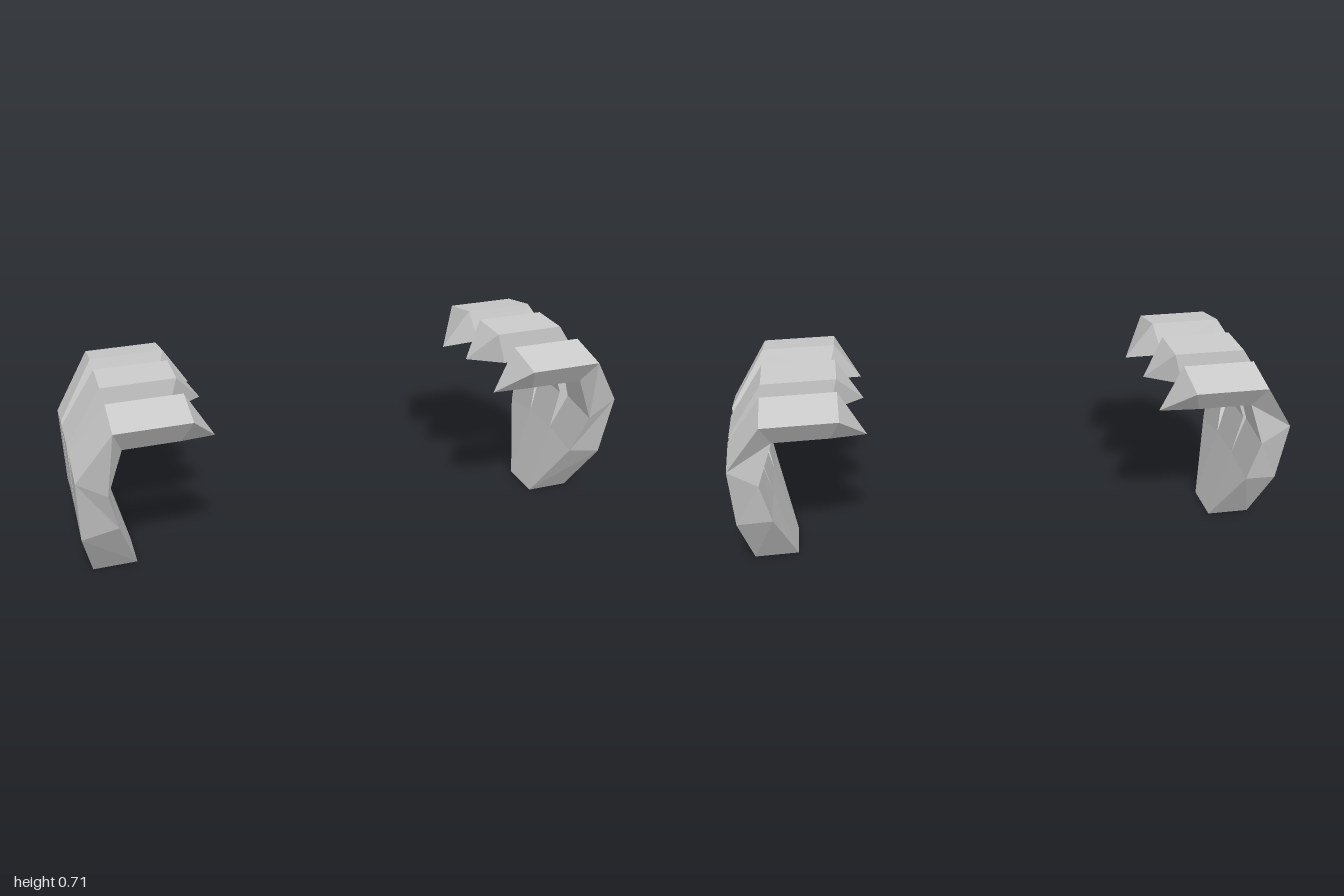
import * as THREE from 'three';

// Each finger is a loft of four-cornered rings running from wrist to tip.
// Ring corners: outer front, outer back, inner back, inner front.
function loft(rings, hidden, mirror) {
  const pos = [];
  const tri = (a, b, c) => {
    const [p, q, r] = [a, b, c].map(v => new THREE.Vector3(...v));
    if (q.clone().sub(p).cross(r.clone().sub(p)).length() < 1e-7) return;
    for (const v of mirror < 0 ? [a, c, b] : [a, b, c]) pos.push(v[0] * mirror, v[1], v[2]);
  };
  for (let i = 0; i < rings.length - 1; i++) {
    for (let k = 0; k < 4; k++) {
      if (i === 0 && hidden.includes(k)) continue; // walls shared inside the palm
      const n = (k + 1) % 4, lo = rings[i], hi = rings[i + 1];
      tri(lo[k], lo[n], hi[n]);
      tri(lo[k], hi[n], hi[k]);
    }
  }
  // wrist cap
  const [a, b, c, d] = rings[0];
  tri(a, c, b);
  tri(a, d, c);
  const g = new THREE.BufferGeometry();
  g.setAttribute('position', new THREE.Float32BufferAttribute(pos, 3));
  g.computeVertexNormals();
  return g;
}

const F = 0.065, B = -0.097; // front and back edge of the middle finger

function middleRings() {
  const ring = (xo, yo, xi, yi) => [[xo, yo, F], [xo, yo, B], [xi, yi, B], [xi, yi, F]];
  const tip = [0.52, 0.59, (F + B) / 2];
  return [
    ring(0.965, 0, 0.805, 0),
    ring(1, 0.26, 0.87, 0.28),
    ring(1, 0.515, 0.9, 0.43),
    ring(0.87, 0.71, 0.84, 0.59),
    ring(0.61, 0.71, 0.645, 0.59),
    [tip, tip, tip, tip],
  ];
}

// s = 1 for the front finger, -1 for the back finger
function sideRings(s) {
  const near = s > 0 ? F : B;
  // far and near outer corners, then near and far inner corners
  const ring = (of, on, inn, inf) => (s > 0 ? [of, on, inn, inf] : [on, of, inf, inn]);
  const wo = [0.965, 0, near], wi = [0.805, 0, near];
  const tip = [0.52, 0.557, s * 0.228];
  const shift = s > 0 ? 0 : -0.008;
  const low = 0.16 * s + shift;
  return [
    ring(wo, wo, wi, wi),
    ring([1, 0.23, s * 0.225], [1, 0.26, near], [0.87, 0.28, near], [0.87, 0.255, s > 0 ? 0.228 : -0.26]),
    ring([1, 0.485, s * 0.29], [1, 0.515, s * 0.13], [0.9, 0.44, s * 0.125], [0.9, 0.42, s * 0.29]),
    ring([0.87, 0.677, s * 0.355], [0.87, 0.71, s * 0.195], [0.84, 0.59, low], [0.84, 0.585, s * 0.29]),
    ring([0.61, 0.677, s * 0.355], [0.61, 0.71, s * 0.195], [0.645, 0.59, low], [0.645, 0.585, s * 0.29]),
    [tip, tip, tip, tip],
  ];
}

export function createModel() {
  const model = new THREE.Group();
  model.name = 'clawHands';
  const material = new THREE.MeshStandardMaterial({ color: 0xcccccc, flatShading: true });
  const fingers = [
    ['frontFinger', sideRings(1), [1]],
    ['middleFinger', middleRings(), [1, 3]],
    ['backFinger', sideRings(-1), [3]],
  ];
  for (const side of [1, -1]) {
    const hand = new THREE.Group();
    hand.name = side > 0 ? 'leftHand' : 'rightHand';
    for (const [name, rings, hidden] of fingers) {
      const mesh = new THREE.Mesh(loft(rings, hidden, side), material);
      mesh.name = name;
      hand.add(mesh);
    }
    model.add(hand);
  }
  return model;
}
